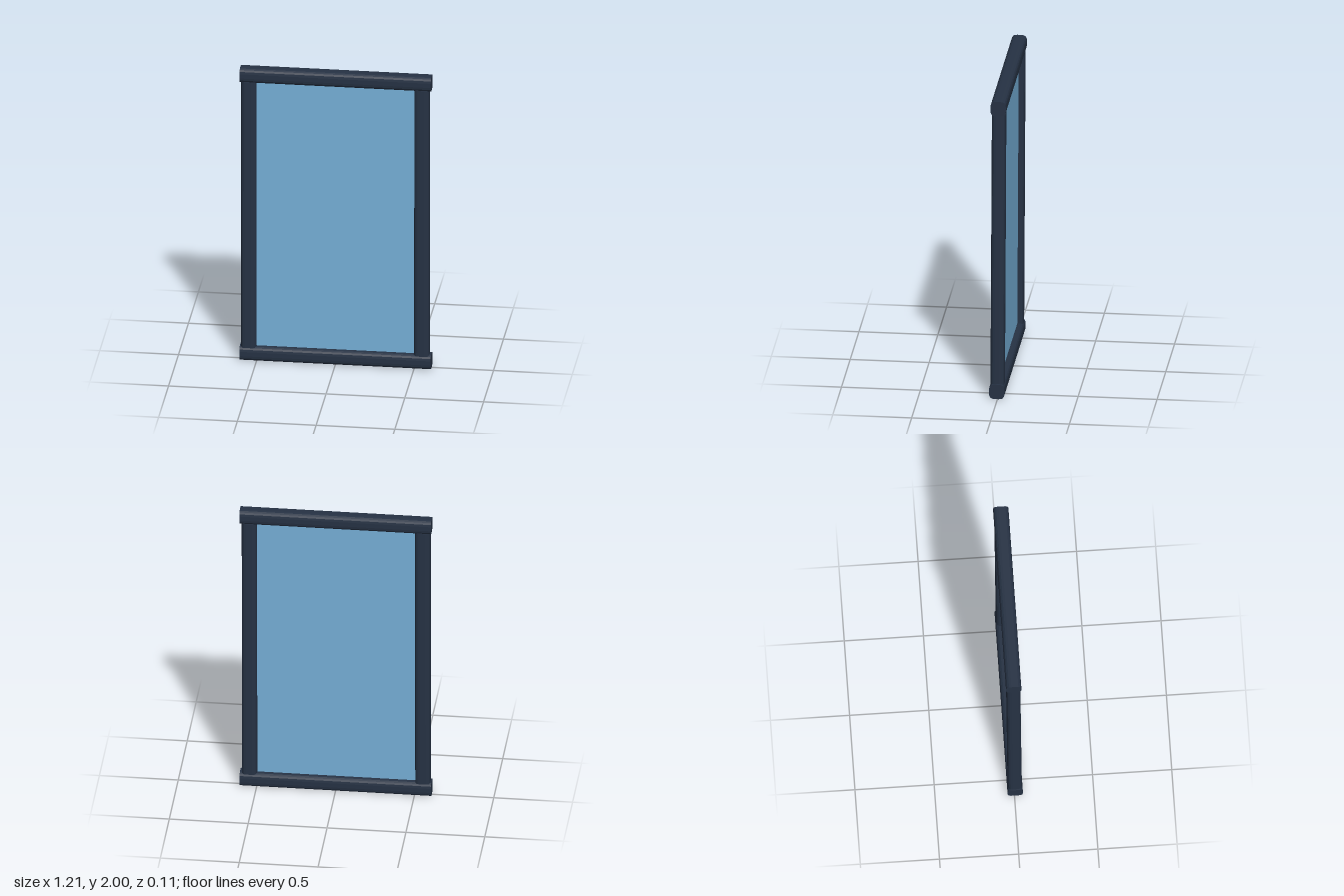
import * as THREE from 'three';

const frameMat = new THREE.MeshStandardMaterial({ color: 0x263244 });
frameMat.name = 'dark navy frame';
const glassMat = new THREE.MeshStandardMaterial({ color: 0x76b0d8 });
glassMat.name = 'blue glass';

// Bar along z, with a rounded cross-section of w by h
function barGeometry(w, h, length, r) {
  const s = new THREE.Shape();
  const x = w / 2, y = h / 2;
  s.moveTo(-x + r, -y);
  s.lineTo(x - r, -y);
  s.quadraticCurveTo(x, -y, x, -y + r);
  s.lineTo(x, y - r);
  s.quadraticCurveTo(x, y, x - r, y);
  s.lineTo(-x + r, y);
  s.quadraticCurveTo(-x, y, -x, y - r);
  s.lineTo(-x, -y + r);
  s.quadraticCurveTo(-x, -y, -x + r, -y);
  const geo = new THREE.ExtrudeGeometry(s, { depth: length, bevelEnabled: false, curveSegments: 4 });
  return geo.translate(0, 0, -length / 2);
}

export function createModel() {
  const model = new THREE.Group();
  model.name = 'framedWindow';

  // The whole window leans back very slightly about its middle
  const leaning = new THREE.Group();
  leaning.name = 'windowPanel';
  leaning.position.y = 1;
  leaning.rotation.x = -0.005;
  model.add(leaning);

  const add = (name, geo, mat, x, y) => {
    const mesh = new THREE.Mesh(geo, mat);
    mesh.name = name;
    mesh.position.set(x, y, 0);
    leaning.add(mesh);
  };

  // Top and bottom rails run the full width
  const rail = barGeometry(0.097, 0.097, 1.214, 0.034).rotateY(Math.PI / 2);
  add('topRail', rail, frameMat, 0, 0.951);
  add('bottomRail', rail, frameMat, 0, -0.951);

  // Side stiles sit between the rails
  const stile = barGeometry(0.097, 0.088, 1.82, 0.03).rotateX(Math.PI / 2);
  add('leftStile', stile, frameMat, 0.547, 0);
  add('rightStile', stile, frameMat, -0.552, 0);

  // Glass pane
  add('glassPane', new THREE.BoxGeometry(1.04, 1.84, 0.016), glassMat, 0, 0);

  return model;
}
